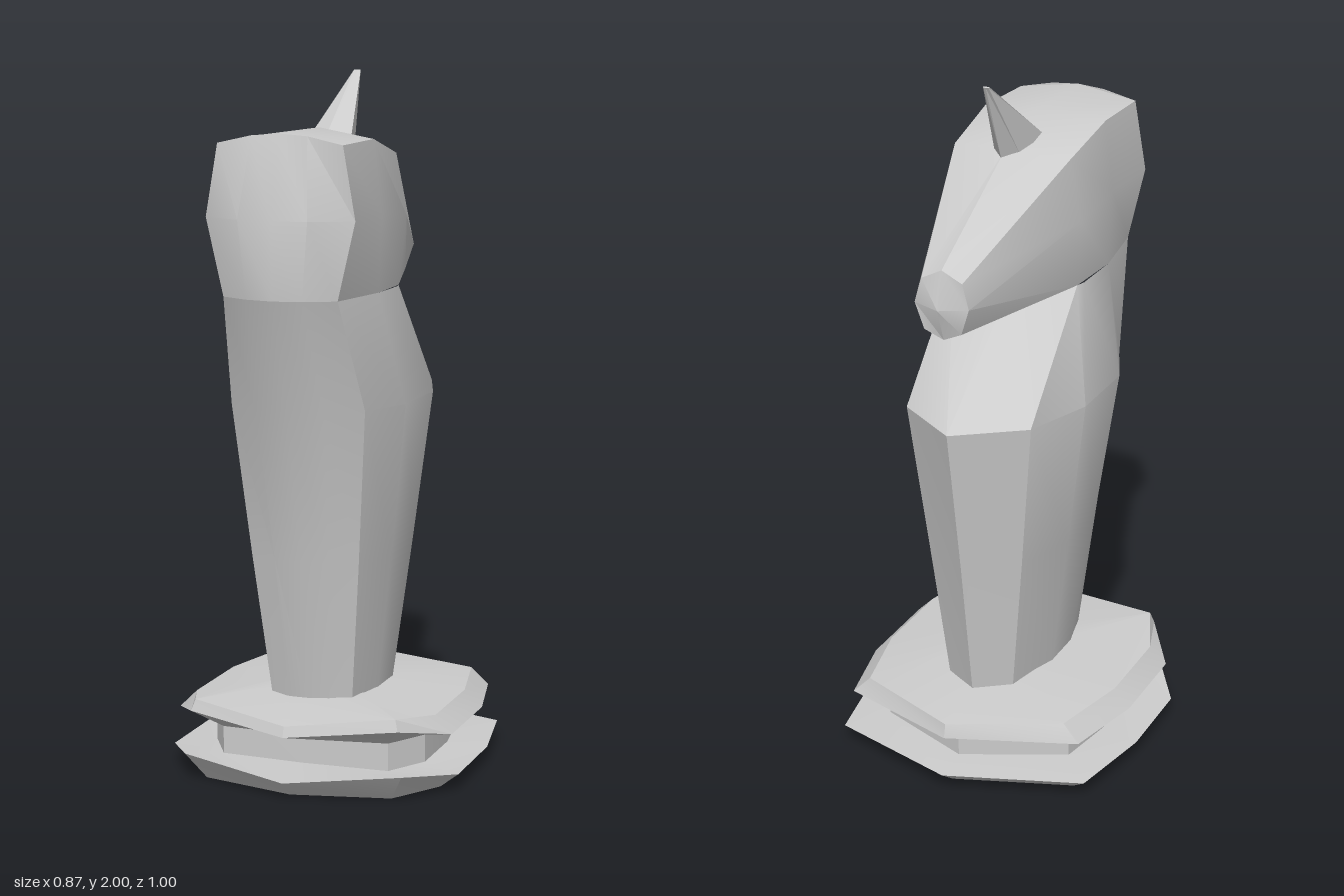
import * as THREE from 'three';
import { toCreasedNormals } from 'three/addons/utils/BufferGeometryUtils.js';

// Each half ring runs from the -z centre line, round the +x side, to the +z centre line.
// It is mirrored into a closed ring, and successive rings (bottom to top) are skinned.
function loft(name, halves, crease = 0.5) {
  const rings = halves.map((half) => {
    const mirrored = half.slice(1, -1).reverse().map(([x, y, z]) => [-x, y, z]);
    return [...half, ...mirrored].map((p) => new THREE.Vector3(...p));
  });
  const pos = [];
  const tri = (a, b, c) => {
    if (new THREE.Triangle(a, b, c).getArea() < 1e-7) return;
    for (const v of [a, b, c]) pos.push(v.x, v.y, v.z);
  };
  for (let r = 0; r < rings.length - 1; r++) {
    const a = rings[r], b = rings[r + 1], n = a.length;
    for (let i = 0; i < n; i++) {
      const j = (i + 1) % n;
      tri(a[i], b[i], b[j]);
      tri(a[i], b[j], a[j]);
    }
  }
  let geo = new THREE.BufferGeometry();
  geo.setAttribute('position', new THREE.Float32BufferAttribute(pos, 3));
  geo = toCreasedNormals(geo, crease);
  const mesh = new THREE.Mesh(geo, new THREE.MeshStandardMaterial({ color: 0xcccccc }));
  mesh.name = name;
  return mesh;
}

// Flat [x, z] outline at one height, optionally scaled; heights may vary per corner
const level = (outline, y, s = 1) =>
  outline.map(([x, z], i) => [x * s, Array.isArray(y) ? y[i] : y, z * s]);
// Ring collapsed onto the middle plane (closes a loft with a ridge)
const ridge = (half, lift = 0) => half.map(([, y, z]) => [0, y + lift, z]);

export function createModel() {
  const group = new THREE.Group();

  // Plinth: faceted foot, waist and upper collar
  const foot = [[0, -0.5], [0.385, -0.37], [0.435, -0.1], [0.435, 0.18], [0.325, 0.355], [0, 0.43]];
  const waist = [[0, -0.39], [0.29, -0.26], [0.32, -0.08], [0.32, 0.13], [0.25, 0.25], [0, 0.26]];
  const rim = [[0, -0.485], [0.36, -0.355], [0.415, -0.11], [0.415, 0.18], [0.31, 0.345], [0, 0.425]];
  const top = [[0, -0.475], [0.31, -0.345], [0.365, -0.1], [0.365, 0.175], [0.3, 0.335], [0, 0.415]];
  group.add(loft('foot', [
    level(foot, 0, 0),
    level(foot, 0, 0.86),
    level(foot, [0.05, 0.05, 0.05, 0.05, 0.08, 0.05]),
    level(waist, 0.06),
    level(waist, 0.06, 0),
  ], 0.3));
  group.add(loft('waist', [level(waist, 0.05), level(waist, 0.15)], 0.3));
  group.add(loft('collar', [
    level(waist, 0.14, 0),
    level(waist, 0.14),
    level(rim, [0.165, 0.165, 0.165, 0.165, 0.205, 0.18]),
    level(top, [0.205, 0.215, 0.215, 0.215, 0.238, 0.21]),
    level(top, 0.25, 0.35),
    level(top, 0.25, 0),
  ], 0.3));

  // Neck: swells to the chest, then cuts back to the throat
  const neckFoot = [[0, -0.295], [0.1, -0.235], [0.15, -0.07], [0.15, 0.06], [0.12, 0.19], [0.06, 0.21], [0, 0.215]];
  const neckMid = [[0, -0.365], [0.145, -0.27], [0.207, -0.085], [0.207, 0.1], [0.16, 0.245], [0.08, 0.275], [0, 0.285]];
  const chest = [[0, -0.445], [0.19, -0.31], [0.262, -0.1], [0.262, 0.145], [0.197, 0.3], [0.1, 0.365], [0, 0.38]];
  const throat = [[0, 0], [0.19, 0], [0.198, 0.03], [0.2, 0.2], [0.165, 0.43], [0.08, 0.475], [0, 0.49]];
  group.add(loft('neck', [
    level(neckFoot, 0.22),
    level(neckMid, 0.65),
    level(chest, 1.09),
    level(throat, 1.405),
  ]));

  // Head: jaw line, widest line, brow line, closed above by the crest
  const jaw = [[0, 1.375, -0.455], [0.055, 1.4, -0.46], [0.19, 1.405, 0], [0.2, 1.405, 0.2],
    [0.165, 1.405, 0.43], [0.08, 1.405, 0.475], [0, 1.405, 0.49]];
  const cheek = [[0, 1.47, -0.492], [0.08, 1.475, -0.465], [0.207, 1.6, -0.02], [0.21, 1.62, 0.2],
    [0.215, 1.62, 0.43], [0.1, 1.62, 0.487], [0, 1.62, 0.5]];
  const brow = [[0, 1.575, -0.462], [0.06, 1.545, -0.463], [0.175, 1.775, -0.02], [0.185, 1.825, 0.2],
    [0.18, 1.82, 0.43], [0.08, 1.842, 0.432], [0, 1.848, 0.433]];
  const crest = ridge(brow);
  crest[1][1] = 1.575;
  crest[2] = [0, 1.79, -0.07];
  crest[3] = [0, 1.85, 0.13];
  crest[4] = crest[5] = crest[6];
  group.add(loft('head', [ridge(jaw), jaw, cheek, brow, crest]));

  // Horn: slim faceted spike leaning towards the muzzle
  const hornFoot = [[0, 1.76, -0.085], [0.04, 1.77, -0.045], [0.062, 1.82, 0.04], [0, 1.83, 0.068]];
  const hornTip = [[0, 1.998, -0.188], [0.008, 1.998, -0.186], [0.01, 2, -0.184], [0, 2, -0.182]];
  group.add(loft('horn', [hornFoot, hornTip, ridge(hornTip)], 0.2));

  return group;
}
